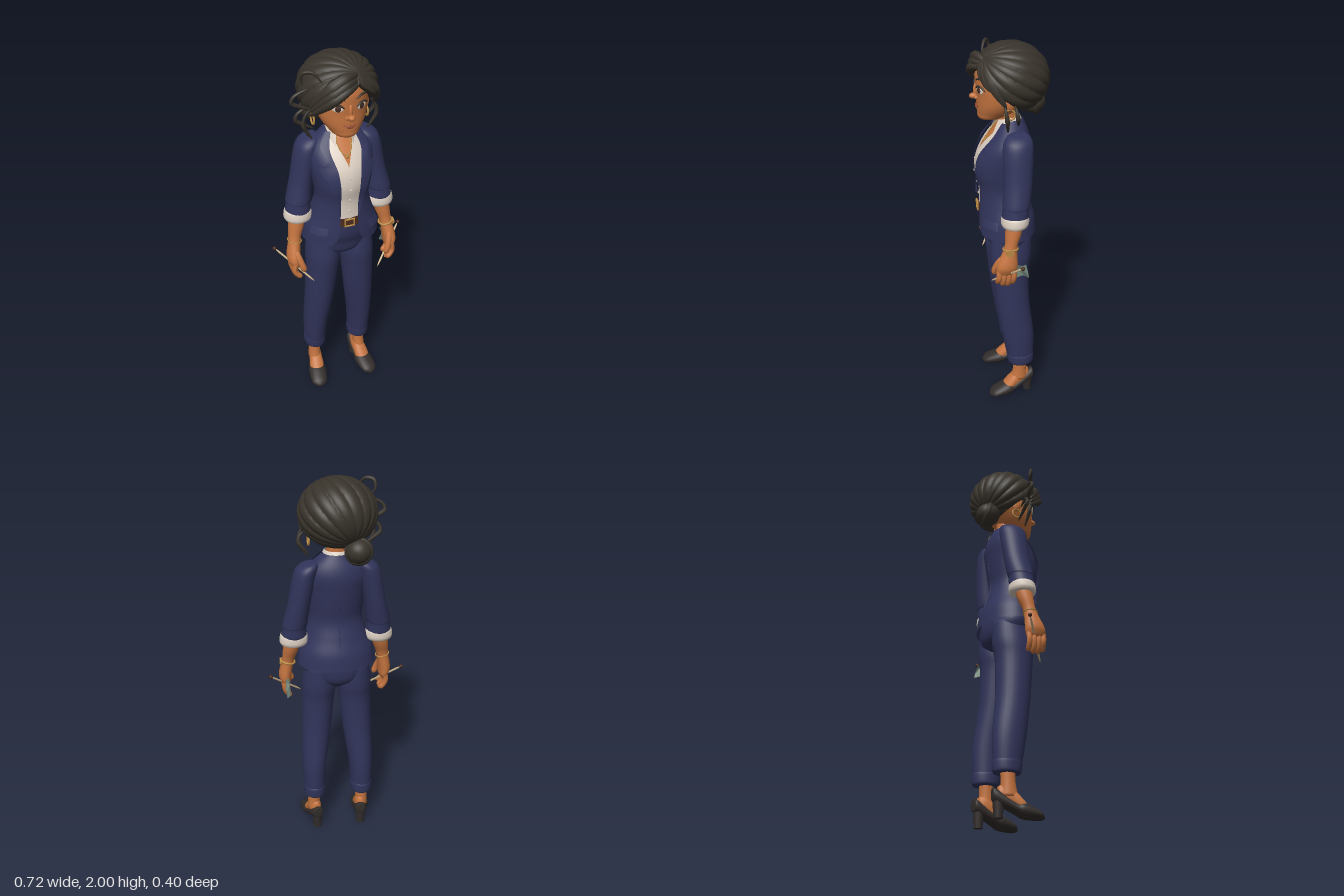
import * as THREE from 'three';
import { mergeVertices } from 'three/addons/utils/BufferGeometryUtils.js';

const V = (x, y, z) => new THREE.Vector3(x, y, z);
const { lerp, smoothstep, clamp } = THREE.MathUtils;
const ball = () => new THREE.SphereGeometry(1, 24, 16);
const flip = (s, rows) => rows.map(r => [s * r[0], ...r.slice(1)]);

function mat(name, color, open) {
  const m = new THREE.MeshStandardMaterial({ color });
  m.name = name;
  if (open) m.side = THREE.DoubleSide;
  return m;
}
function add(parent, name, geo, material, pos, scale) {
  const m = new THREE.Mesh(geo, material);
  m.name = name;
  if (pos) m.position.copy(pos);
  if (scale) m.scale.set(...scale);
  parent.add(m);
  return m;
}
// Smooth interpolation of rows [key, a, b, ...]
function curveOf(rows) {
  const f = new THREE.CubicInterpolant(rows.map(r => r[0]), rows.flatMap(r => r.slice(1)), rows[0].length - 1);
  return t => Array.from(f.evaluate(t));
}
function build(pos, idx) {
  const g = new THREE.BufferGeometry();
  g.setAttribute('position', new THREE.Float32BufferAttribute(pos, 3));
  g.setIndex(idx);
  const merged = mergeVertices(g, 1e-5);
  merged.computeVertexNormals();
  return merged;
}
// Surface patch from a rule (u, v) -> point
function grid(fn, nu, nv) {
  const pos = [], idx = [], w = nu + 1;
  for (let i = 0; i <= nv; i++) for (let j = 0; j <= nu; j++) pos.push(...fn(j / nu, i / nv).toArray());
  for (let i = 0; i < nv; i++) for (let j = 0; j < nu; j++) {
    const p = i * w + j;
    idx.push(p, p + 1, p + w, p + 1, p + w + 1, p + w);
  }
  return build(pos, idx);
}
// Closed body through horizontal ellipses [cx, y, cz, rx, rz]
function loft(rings, n = 28) {
  if (rings[0][1] > rings[rings.length - 1][1]) rings = [...rings].reverse();
  const f = curveOf(rings.map((r, i) => [i, ...r])), rows = (rings.length - 1) * 5;
  return grid((u, v) => {
    // the first and last rows close the ends
    const k = Math.round(v * (rows + 2)), a = u * Math.PI * 2, open = k > 0 && k < rows + 2 ? 1 : 0;
    const [cx, y, cz, rx, rz] = f(clamp(k - 1, 0, rows) / 5);
    return V(cx + open * rx * Math.sin(a), y, cz + open * rz * Math.cos(a));
  }, n, rows + 2);
}
// Tapered round strand through points; larger k gives blunter ends
function strand(pts, r, k = 2, n = 28) {
  const curve = new THREE.CatmullRomCurve3(pts.map(p => (p.isVector3 ? p : V(...p))));
  const g = new THREE.TubeGeometry(curve, n, r, 8), p = g.attributes.position, v = V();
  for (let i = 0; i < p.count; i++) {
    const t = Math.floor(i / 9) / n, c = curve.getPointAt(t);
    const w = Math.sqrt(Math.min(1, k * t) * Math.min(1, k * (1 - t)));
    v.fromBufferAttribute(p, i).sub(c).multiplyScalar(Math.max(w, .02)).add(c);
    p.setXYZ(i, v.x, v.y, v.z);
  }
  g.computeVertexNormals();
  return g;
}
// Rounded form from rows [y, halfWidth, frontZ, backZ]; angle 0 faces front
function form(rows) {
  const f = curveOf(rows);
  const at = (a, y, off = 0) => {
    const [rx, zf, zb] = f(y);
    return V((rx + off) * Math.sin(a), y, (zf + zb) / 2 + ((zf - zb) / 2 + off) * Math.cos(a));
  };
  const angle = (x, y) => Math.asin(clamp(x / f(y)[0], -1, 1));
  return { at, angle, on: (x, y, off) => at(angle(x, y), y, off) };
}

export function createModel() {
  const model = new THREE.Group();
  model.name = 'womanInSuit';
  const skin = mat('skin', 0xc47440, true), lip = mat('lip', 0x9c4c32), hair = mat('hair', 0x38332b);
  const navy = mat('navy cloth', 0x31345a, true), cream = mat('cream', 0xdccfc2, true), shoe = mat('shoe leather', 0x322d2b);
  const gold = mat('gold', 0xb98a45), brown = mat('dark brown', 0x4a2a1c, true);
  const wood = mat('pale wood', 0xcdb48c), green = mat('sage knit', 0x75897c, true);
  const group = name => { const g = new THREE.Group(); g.name = name; model.add(g); return g; };

  // Jacket, open at the front
  const jacket = group('jacket');
  const torso = form([[1.02, .205, .175, -.135], [1.1, .192, .172, -.125], [1.18, .162, .166, -.098], [1.27, .14, .168, -.075],
    [1.36, .15, .185, -.085], [1.44, .16, .175, -.095], [1.51, .163, .138, -.1], [1.56, .14, .1, -.09], [1.625, .068, .05, -.062]]);
  const opening = curveOf([[1.02, .095], [1.05, .066], [1.1, .053], [1.2, .047], [1.45, .06], [1.55, .08], [1.625, .052]]);
  add(jacket, 'jacketBody', grid((u, v) => {
    const y = lerp(1.02, 1.625, v), a0 = torso.angle(opening(y)[0], y);
    return torso.at(lerp(a0, 2 * Math.PI - a0, u), y);
  }, 72, 48), navy);
  add(jacket, 'backSeam', strand([1.03, 1.15, 1.27, 1.4, 1.55].map(y => torso.at(Math.PI, y, -.001)), .003, 20), navy);
  const lapelWidth = curveOf([[1.2, .002], [1.4, .048], [1.47, .066], [1.49, .032], [1.56, .034], [1.62, .014]]);
  for (const s of [-1, 1]) {
    add(jacket, 'lapel', grid((u, v) => {
      const y = lerp(1.2, 1.615, v);
      return torso.on(s * (opening(y)[0] - .003 + u * Math.max(.002, lapelWidth(y)[0])), y, .004 + .008 * u);
    }, 6, 40), navy);
    add(jacket, 'pocketFlap', grid((u, v) => torso.at(s * lerp(.6, 1.15, u), lerp(1.085, 1.125, v), .012 - .008 * v), 10, 3), navy);
    // Sleeves with a rolled fold and cream cuffs
    add(jacket, 'sleeve', loft(flip(s, [[.12, 1.588, -.025, .015, .03], [.14, 1.57, -.02, .047, .06], [.163, 1.52, -.015, .058, .075],
      [.195, 1.36, -.01, .057, .07], [.216, 1.25, .002, .064, .069], [.219, 1.235, .004, .06, .066], [.221, 1.18, .008, .068, .068]])), navy);
    add(jacket, 'shirtCuff', loft(flip(s, [[.221, 1.2, .008, .06, .06], [.221, 1.185, .008, .071, .068], [.222, 1.155, .009, .075, .07], [.223, 1.138, .01, .068, .064]])), cream);
  }

  // Shirt, chest, collar and belt
  const shirt = group('shirt');
  add(shirt, 'chest', grid((u, v) => torso.at(lerp(-.9, .9, u), lerp(1.4, 1.62, v), -.018), 16, 16), skin);
  for (const s of [-1, 1]) {
    add(shirt, 'shirtFront', grid((u, v) => {
      const y = lerp(1.13, 1.585, v);
      return torso.on(s * lerp(Math.max(0, (y - 1.47) * .45), .1, u), y, -.009);
    }, 10, 30), cream);
    add(shirt, 'collar', grid((u, v) => {
      const a = s * lerp(.6, Math.PI, u), front = Math.max(0, Math.cos(a)) ** 1.5, r = lerp(.087, .06, v);
      const y = lerp(1.585 - .085 * front, 1.638 - .018 * front, v);
      return V(r * Math.sin(a), y, .012 + (r + .035 * front * (1 - v)) * Math.cos(a));
    }, 24, 5), cream);
  }
  add(shirt, 'placket', grid((u, v) => torso.on(lerp(-.011, .011, u), lerp(1.17, 1.47, v), -.005), 2, 20), cream);
  for (let y = 1.22; y < 1.47; y += .065) add(shirt, 'shirtButton', ball(), cream, torso.at(0, y, -.003), [.006, .006, .003]);
  add(shirt, 'necklace', strand([-2, -1, 0, 1, 2].map(i => torso.at(i * .2, 1.515 + .021 * i * i, -.013)), .004, 20), gold);
  add(shirt, 'pendant', ball(), gold, torso.at(0, 1.508, -.012), [.008, .01, .005]);
  add(shirt, 'belt', grid((u, v) => torso.at(lerp(-.45, .45, u), lerp(1.13, 1.175, v), -.005), 14, 3), brown);
  const square = new THREE.TorusGeometry(.027, .005, 8, 4).rotateZ(Math.PI / 4).toNonIndexed();
  square.computeVertexNormals();
  add(shirt, 'beltBuckle', square, gold, torso.at(0, 1.152, .001), [1.25, 1, 1]);

  // Trousers, ankles and heeled shoes
  const lower = group('legs');
  add(lower, 'trouserSeat', loft([[0, .9, 0, .04, .07], [0, .94, .005, .14, .11], [0, 1, .007, .182, .122], [0, 1.06, .02, .18, .128], [0, 1.17, .04, .13, .115]], 36), navy);
  for (const s of [-1, 1]) {
    add(lower, 'trouserLeg', loft(flip(s, [[.09, 1.02, .003, .08, .1], [.094, .9, .01, .091, .108], [.1, .8, .013, .086, .098],
      [.114, .6, 0, .078, .09], [.13, .4, -.026, .066, .086], [.132, .22, -.04, .056, .068]])), navy);
    add(lower, 'trouserCuff', loft(flip(s, [[.132, .275, -.038, .056, .07], [.132, .265, -.038, .061, .075], [.132, .225, -.04, .06, .072], [.132, .213, -.04, .055, .067]])), navy);
    add(lower, 'ankle', loft(flip(s, [[.134, .25, -.037, .034, .038], [.136, .17, -.035, .033, .036], [.138, .1, -.03, .034, .045]])), skin);
    const foot = new THREE.Group();
    foot.name = 'foot';
    foot.position.x = s * .138;
    foot.rotation.y = s * .16;
    lower.add(foot);
    // rows run from heel to toe: z, halfWidth, bottom, top
    const along = rows => loft(rows.map(([z, w, b, t]) => [0, z, -(b + t) / 2, w, (t - b) / 2])).rotateX(Math.PI / 2);
    add(foot, 'instep', along([[-.085, .02, .08, .15], [-.05, .033, .06, .165], [-.01, .037, .04, .142], [.03, .04, .02, .102], [.07, .025, .02, .06]]), skin);
    add(foot, 'shoe', along([[-.112, .012, .09, .125], [-.1, .032, .07, .142], [0, .043, .022, .08], [.04, .051, .003, .08], [.115, .042, 0, .046], [.14, .012, .006, .022]]), shoe);
    add(foot, 'shoeHeel', new THREE.CylinderGeometry(.028, .022, .09, 16), shoe, V(0, .045, -.082));
  }

  // Forearms, hands, needles
  for (const s of [-1, 1]) {
    const arm = group(s > 0 ? 'leftHand' : 'rightHand');
    add(arm, 'forearm', loft(flip(s, [[.224, 1.17, .01, .045, .045], [.238, 1.1, .02, .041, .041], [.253, 1.03, .035, .032, .033],
      [.268, .94, .054, .034, .052], [.266, .9, .058, .028, .052], [.264, .875, .06, .015, .04]])), skin);
    for (let i = 0; i < 4; i++) {
      const z = .022 + i * .025, drop = .006 * (i - 1.3) ** 2;
      add(arm, 'finger', strand(flip(s, [[.266, .92, z], [.274, .865, z], [.262, .825 + drop, z + .003], [.238, .802 + drop, z + .006]]), .0145, 8, 16), skin);
    }
    add(arm, 'thumb', strand(flip(s, [[.262, .98, .07], [.25, .94, .1], [.236, .895, .115], [.224, .86, .115]]), .0165, 7, 16), skin);
    add(arm, 'needle', strand(flip(s, [[.35, .957, -.01], [.178, .792, .125]]), .0055, 8), wood);
    add(arm, 'needleKnob', ball(), brown, V(s * .35, .957, -.01), [.01, .01, .01]);
    const band = add(arm, 'bracelet', new THREE.TorusGeometry(.036, s > 0 ? .006 : .003, 8, 28), gold, V(s * .254, 1.02, .037));
    band.rotation.set(Math.PI / 2, s * .2, 0);
    if (s > 0) {
      add(arm, 'watchFace', new THREE.CylinderGeometry(.02, .02, .009, 20).rotateZ(Math.PI / 2), gold, V(.291, 1.015, .045));
      add(arm, 'knittedPiece', grid((u, v) => V(.262 + .012 * Math.sin(u * 7 + v * 3), lerp(.865, .94, v) - .02 * u, .03 - .088 * u + .015 * v), 12, 8), green);
    }
  }

  // Head and face
  const head = group('head');
  const face = form([[1.618, .012, .128, .1], [1.63, .05, .152, .05], [1.66, .083, .16, -.02], [1.7, .11, .162, -.06], [1.75, .127, .163, -.1],
    [1.8, .13, .167, -.12], [1.86, .125, .163, -.13], [1.91, .1, .125, -.11], [1.945, .03, .03, -.03]]);
  add(head, 'skull', grid((u, v) => face.at(lerp(Math.PI, 3 * Math.PI, u), lerp(1.618, 1.945, v)), 48, 48), skin);
  add(head, 'chin', ball(), skin, V(0, 1.642, .125), [.04, .022, .032]);
  add(head, 'neck', loft([[0, 1.5, 0, .062, .06], [0, 1.58, .008, .051, .052], [0, 1.7, .015, .05, .055]]), skin);
  add(head, 'noseTip', ball(), skin, V(0, 1.742, .175), [.018, .015, .023]);
  add(head, 'noseBridge', ball(), skin, V(0, 1.77, .164), [.011, .036, .014]);
  add(head, 'upperLip', strand([-2, -1, 0, 1, 2].map(i => face.on(i * .018, 1.693 + .0015 * i * i, .002)), .005), lip);
  add(head, 'lowerLip', ball(), lip, face.on(0, 1.686, .001), [.02, .006, .006]);
  for (const s of [-1, 1]) {
    const onFace = (name, m, x, y, off, scale) => {
      add(head, name, ball(), m, face.on(s * x, y, off), scale).rotation.y = face.angle(s * x, y);
    };
    // arched line over the eye from x0 to x1
    const arch = (x0, x1, y, rise, off) => [0, .25, .5, .75, 1].map(t => face.on(s * lerp(x0, x1, t), y + rise * Math.sin(Math.PI * t), off));
    onFace('nostril', skin, .015, 1.737, .002, [.01, .009, .011]);
    onFace('eyeWhite', cream, .058, 1.787, .001, [.027, .019, .005]);
    onFace('iris', brown, .056, 1.787, .004, [.0145, .016, .004]);
    onFace('pupil', shoe, .056, 1.787, .007, [.007, .008, .002]);
    add(head, 'upperLash', strand(arch(.028, .092, 1.788, .02, .006), .005, 4), hair);
    add(head, 'eyebrow', strand(arch(.026, .1, 1.827, .016, .003), .0065), hair);
    add(head, 'ear', ball(), skin, V(s * .132, 1.738, .018), [.016, .036, .024]);
    add(head, 'hoopEarring', new THREE.TorusGeometry(.025, .005, 8, 24).rotateY(Math.PI / 2), gold, V(s * .137, 1.685, .02));
  }

  // Hair: ridges run from the parting to the nape and sink beneath the face
  const hairGroup = group('hair');
  const turn = new THREE.Quaternion().setFromUnitVectors(V(0, 1, 0), V(.25, .68, .69).normalize());
  add(hairGroup, 'hairCap', grid((u, v) => {
    const phi = u * 2 * Math.PI, theta = v * Math.PI;
    const ridge = 1 - .055 * Math.sin(theta) * (1 - Math.abs(Math.sin(9 * phi + 1.2 * theta)) ** .6);
    const d = V().setFromSphericalCoords(1, Math.PI - theta, phi).applyQuaternion(turn).multiply(V(.197, .172, .193)).multiplyScalar(ridge);
    const y = d.y + 1.825;
    const line = 1.89 - (d.x < .05 ? .55 * (.05 - d.x) : .9 * (d.x - .05));
    const edge = Math.min(.1, .04 + (y - 1.75) * 1.2);
    d.multiplyScalar(1 - .45 * smoothstep(Math.min(line - y, d.z - edge), -.008, .008));
    return d.add(V(-.005, 1.825, -.003));
  }, 192, 96), hair);
  // Locks swept across the forehead
  for (const k of [-1, 0, 1]) {
    add(hairGroup, 'sweptLock', strand([[.06, 1.91 + .015 * k, .13 - .01 * k], [-.02, 1.905 + .026 * k, .168 - .012 * k],
      [-.1, 1.85 + .025 * k, .155 - .01 * k], [-.175, 1.76 + .02 * k, .09]], .03 + .003 * k), hair);
  }
  add(hairGroup, 'sideLock', strand([[.04, 1.92, .13], [.1, 1.885, .125], [.155, 1.81, .09], [.17, 1.73, .04]], .026), hair);
  add(hairGroup, 'topCurl', strand([[-.12, 1.91, .12], [-.16, 1.957, .1], [-.2, 1.95, .08], [-.2, 1.9, .07], [-.175, 1.89, .08]], .01), hair);
  // Loose wavy curls: start x, y, z, sideways swing, length
  for (const [x, y, z, swing, len] of [[-.17, 1.87, .07, -.085, .13], [-.17, 1.77, .08, -.03, .17], [-.17, 1.77, .05, -.06, .13],
    [.155, 1.75, .05, .028, .155], [.16, 1.74, 0, .03, .11], [-.05, 1.7, -.12, .02, .1]]) {
    const pts = [0, .25, .5, .75, 1].map(t => V(x + swing * Math.sin(t * 3.8), y - len * t, z - .02 * t));
    add(hairGroup, 'looseCurl', strand(pts, .0115), hair);
  }
  // Low bun wrapped with coils
  add(hairGroup, 'bun', ball(), hair, V(-.085, 1.668, -.13), [.064, .062, .064]);
  for (let i = 0; i < 3; i++) {
    const coil = add(hairGroup, 'bunCoil', new THREE.TorusGeometry(.052 - i * .016, .018, 10, 28), hair, V(-.085, 1.668, -.135 - i * .017));
    coil.rotation.set(.25 - i * .1, .2 * (i - 1), 0);
  }
  return model;
}
